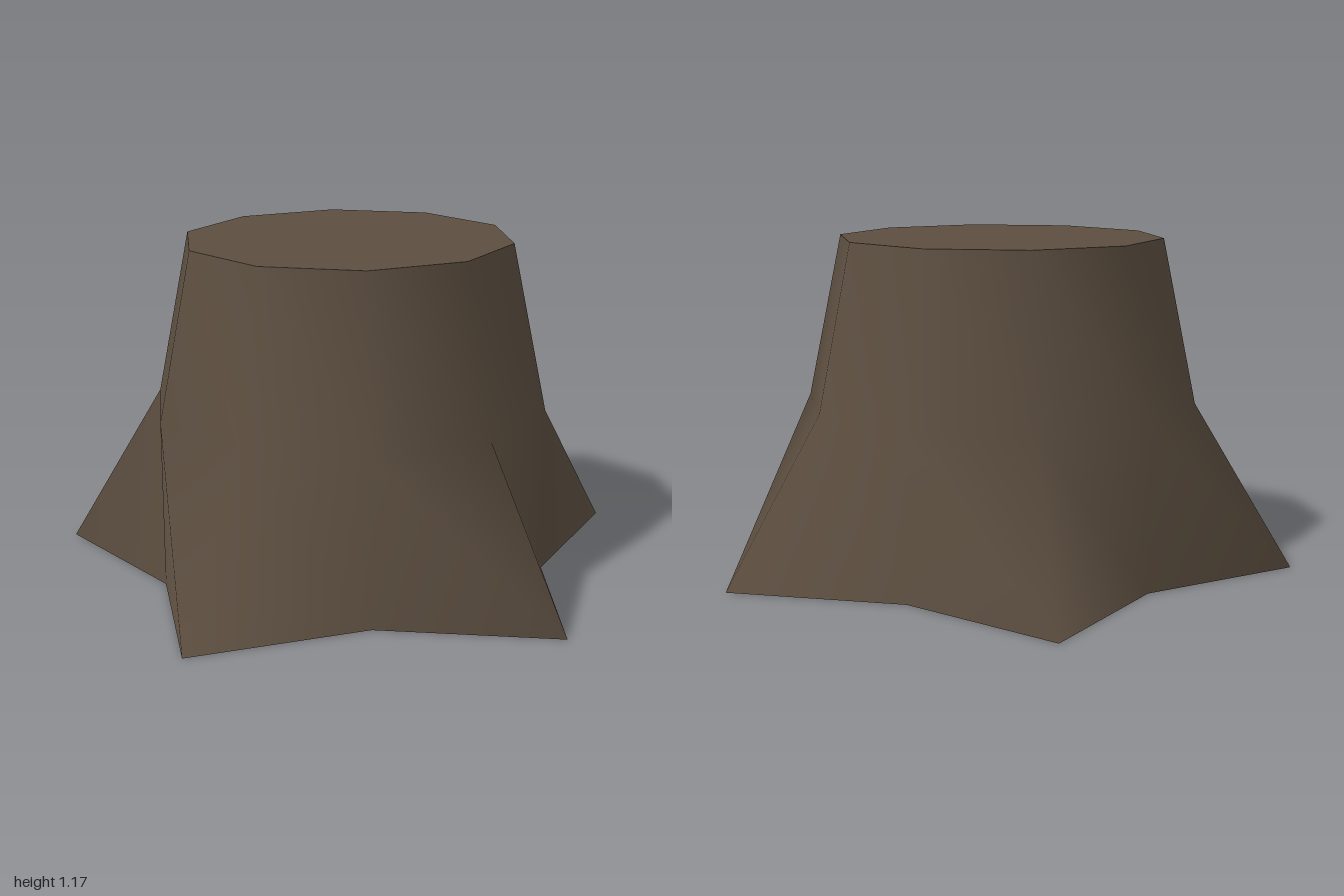
import * as THREE from 'three';
import { mergeVertices } from 'three/addons/utils/BufferGeometryUtils.js';

const SIDES = 10, HEIGHT = 1.17;
const R_TOP = 0.58, R_MID = 0.7, R_ROOT = 1.0515;

export function createModel() {
  const group = new THREE.Group();
  group.name = 'treeStump';
  const bark = new THREE.MeshStandardMaterial({ color: 0x5c4e40, side: THREE.DoubleSide });
  bark.name = 'brown bark';

  // Trunk: ten-sided open wall, rings listed from the ground up
  const profile = [[R_MID, 0], [R_MID, HEIGHT / 2], [R_TOP, HEIGHT]].map(p => new THREE.Vector2(...p));
  let wall = new THREE.LatheGeometry(profile, SIDES, Math.PI / 2);

  // Roots: pull every second ground vertex outwards
  const pos = wall.attributes.position;
  for (let i = 0; i <= SIDES; i += 2) {
    const k = i * profile.length;
    pos.setX(k, pos.getX(k) * R_ROOT / R_MID);
    pos.setZ(k, pos.getZ(k) * R_ROOT / R_MID);
  }

  // Weld the seam for smooth shading all round
  wall.deleteAttribute('uv');
  wall.deleteAttribute('normal');
  wall = mergeVertices(wall);
  wall.computeVertexNormals();
  const trunk = new THREE.Mesh(wall, bark);
  trunk.name = 'trunkWithRoots';

  // Flat cut face
  const cut = new THREE.Mesh(new THREE.CircleGeometry(R_TOP, SIDES).rotateX(-Math.PI / 2), bark);
  cut.name = 'cutTop';
  cut.position.y = HEIGHT;

  group.add(trunk, cut);
  // Centre the uneven five-root outline on x
  for (const part of group.children) part.position.x = -0.1;
  return group;
}
